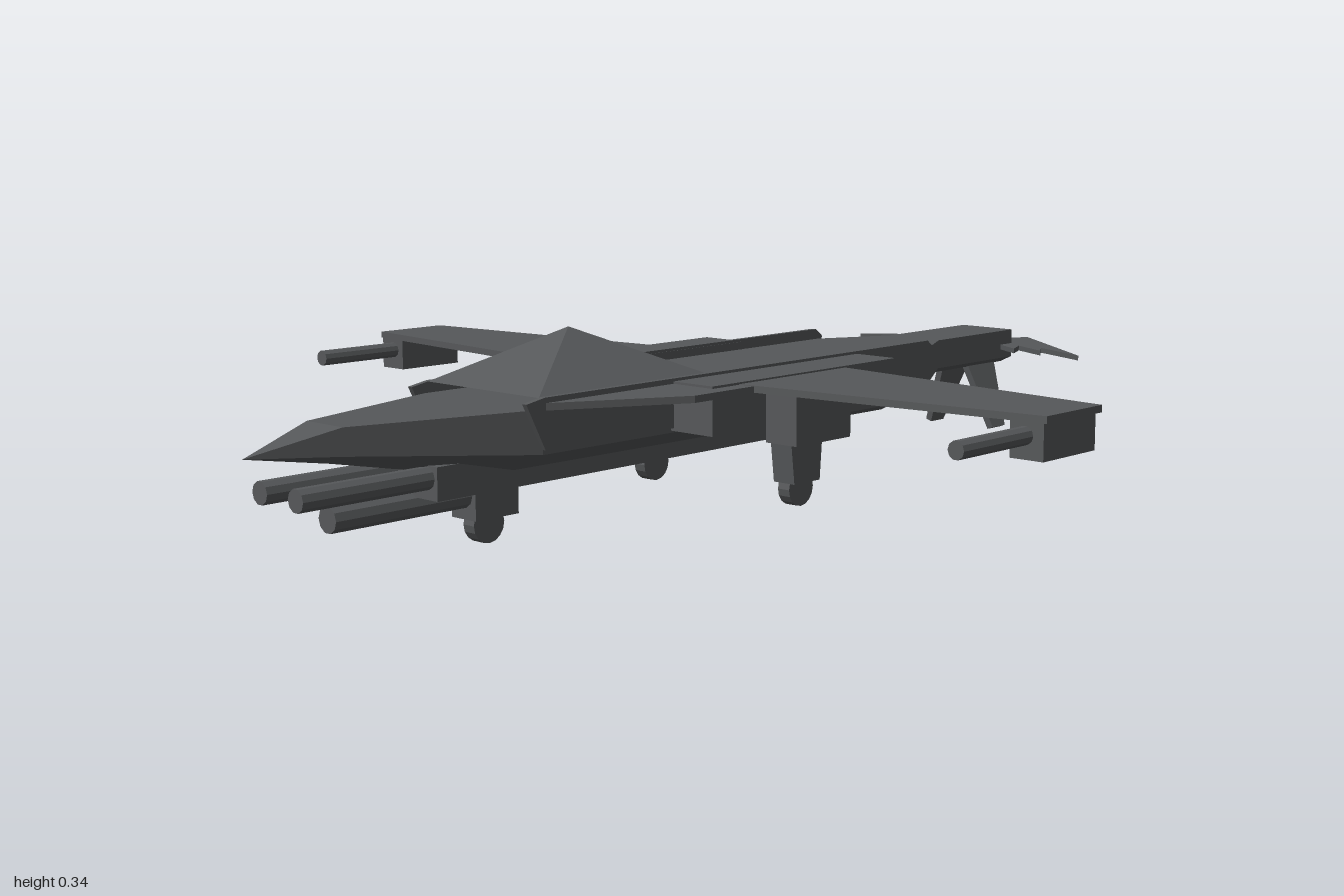
import * as THREE from 'three';

const material = new THREE.MeshStandardMaterial({ color: 0x56585a, flatShading: true });

export function createModel() {
  const group = new THREE.Group();

  const add = (name, geometry) => {
    const mesh = new THREE.Mesh(geometry, material);
    mesh.name = name;
    group.add(mesh);
    return mesh;
  };

  // box given by its limits on each axis
  const box = (name, x0, x1, y0, y1, z0, z1) =>
    add(name, new THREE.BoxGeometry(x1 - x0, y1 - y0, Math.abs(z1 - z0)))
      .position.set((x0 + x1) / 2, (y0 + y1) / 2, (z0 + z1) / 2);

  // flat horizontal plate from [x, z] corners
  const plate = (name, corners, top, thickness) => {
    const shape = new THREE.Shape(corners.map(([x, z]) => new THREE.Vector2(x, z)));
    const geometry = new THREE.ExtrudeGeometry(shape, { depth: thickness, bevelEnabled: false });
    geometry.rotateX(Math.PI / 2);
    add(name, geometry).position.y = top;
  };

  // upright plate from [x, y] corners, centred on its own z
  const upright = (name, corners, thickness) => {
    const shape = new THREE.Shape(corners.map(([x, y]) => new THREE.Vector2(x, y)));
    const geometry = new THREE.ExtrudeGeometry(shape, { depth: thickness, bevelEnabled: false });
    geometry.translate(0, 0, -thickness / 2);
    return add(name, geometry);
  };

  const barrel = (name, x0, x1, y, z, radius) => {
    const geometry = new THREE.CylinderGeometry(radius, radius, x1 - x0, 10);
    geometry.rotateZ(Math.PI / 2);
    add(name, geometry).position.set((x0 + x1) / 2, y, z);
  };

  const wheel = (name, x, z) => {
    const geometry = new THREE.CylinderGeometry(0.033, 0.033, 0.026, 16);
    geometry.rotateX(Math.PI / 2);
    add(name, geometry).position.set(x, 0.033, z);
  };

  // fuselage: six-sided sections [x, half width, top, side bottom, keel half width, keel]
  const sections = [
    [-1, 0, 0.2, 0.2, 0, 0.2],
    [-0.85, 0.045, 0.235, 0.19, 0.01, 0.175],
    [-0.53, 0.14, 0.235, 0.162, 0.035, 0.112],
    [0.48, 0.14, 0.235, 0.16, 0.035, 0.108],
    [0.63, 0.062, 0.235, 0.178, 0.035, 0.165],
    [0.89, 0.062, 0.235, 0.178, 0.035, 0.165],
  ];
  const positions = [];
  const index = [];
  sections.forEach(([x, w, top, side, k, keel], s) => {
    positions.push(x, top, -w, x, top, w, x, side, w, x, keel, k, x, keel, -k, x, side, -w);
    if (s === sections.length - 1) return;
    for (let i = 0; i < 6; i++) {
      const a = s * 6 + i;
      const b = s * 6 + ((i + 1) % 6);
      index.push(a, b, b + 6, a, b + 6, a + 6);
    }
  });
  const last = (sections.length - 1) * 6;
  for (let i = 1; i < 5; i++) index.push(last, last + i, last + i + 1);
  const hull = new THREE.BufferGeometry();
  hull.setAttribute('position', new THREE.Float32BufferAttribute(positions, 3));
  hull.setIndex(index);
  hull.computeVertexNormals();
  add('fuselage', hull);

  // pyramid canopy
  const canopy = new THREE.ConeGeometry(Math.SQRT1_2, 1, 4);
  canopy.rotateY(Math.PI / 4);
  canopy.scale(0.39, 0.087, 0.274);
  add('canopy', canopy).position.set(-0.34, 0.2975, 0);

  box('bellyKeel', -0.69, 0.28, 0.1, 0.155, -0.07, 0.07);

  for (const s of [1, -1]) {
    const side = s > 0 ? 'left' : 'right';
    const mirror = (corners) => corners.map(([x, z]) => [x, z * s]);

    // edge rail, wing root strake and wing
    upright(side + 'Rail', [[-0.57, 0.248], [-0.53, 0.255], [0.48, 0.255], [0.5, 0.24],
      [0.48, 0.17], [-0.53, 0.17]], 0.01).position.z = s * 0.141;
    plate(side + 'Strake', mirror([[-0.53, 0.145], [-0.31, 0.265], [-0.16, 0.265], [-0.16, 0.145]]), 0.246, 0.012);
    plate(side + 'Wing', mirror([[-0.18, 0.14], [-0.165, 0.265], [-0.105, 0.805], [0.05, 0.805],
      [0.115, 0.235], [0.125, 0.14]]), 0.247, 0.012);

    // engine pod and the box hung beside it
    box(side + 'EnginePod', -0.235, 0.26, 0.165, 0.25, s * 0.135, s * 0.235);
    box(side + 'UnderwingBox', -0.105, 0.04, 0.14, 0.236, s * 0.24, s * 0.308);

    // wingtip gun
    box(side + 'WingtipBox', -0.105, 0.04, 0.175, 0.236, s * 0.738, s * 0.8);
    barrel(side + 'WingtipGun', -0.285, -0.1, 0.213, s * 0.766, 0.015);

    // main landing gear
    upright(side + 'MainGearLeg', [[-0.005, 0.17], [0.09, 0.17], [0.08, 0.045], [0.01, 0.045]], 0.048)
      .position.z = s * 0.183;
    wheel(side + 'MainWheel', 0.045, s * 0.18);

    // splayed tail fin
    const fin = upright(side + 'TailFin', [[0.765, 0], [0.865, 0], [0.837, -0.155], [0.793, -0.155]], 0.014);
    fin.position.set(0, 0.182, s * 0.025);
    fin.rotation.x = -s * 0.36;

    barrel(side + 'NoseGun', -0.94, -0.66, 0.135, s * 0.045, 0.019);
  }

  // lower nose gun and nose gear
  barrel('lowerNoseGun', -0.85, -0.55, 0.086, 0, 0.022);
  box('noseGearLeg', -0.578, -0.485, 0.045, 0.11, -0.03, 0.03);
  wheel('noseWheel', -0.535, 0);

  // jagged tail plane
  const half = [[1, 0.03], [0.808, 0.28], [0.862, 0.155], [0.822, 0.18], [0.862, 0.1], [0.815, 0.12], [0.86, 0.045]];
  const mirrored = half.map(([x, z]) => [x, -z]).reverse();
  plate('tailPlane', [[0.965, 0], ...half, ...mirrored], 0.206, 0.01);

  return group;
}
